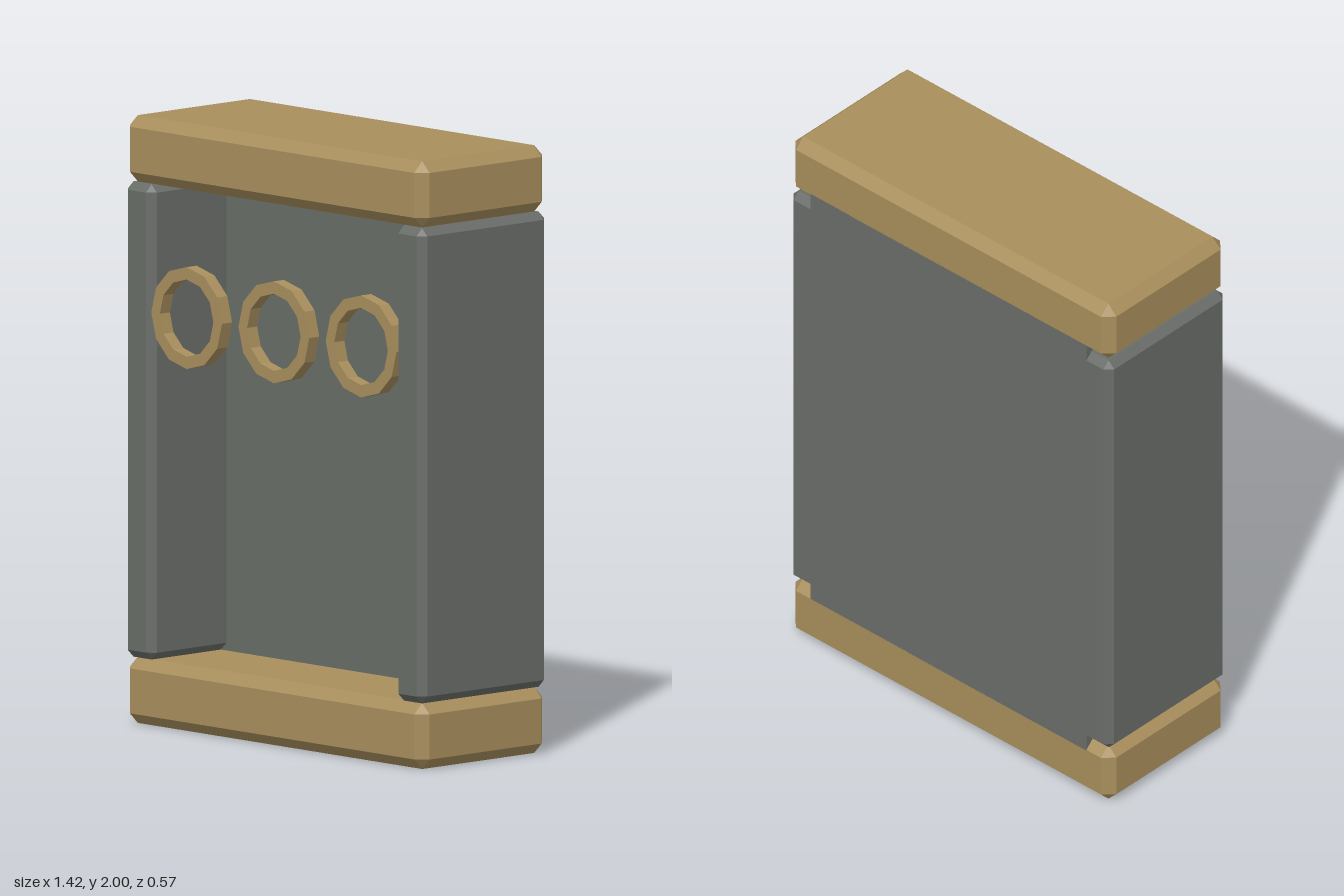
import * as THREE from 'three';
import { ConvexGeometry } from 'three/addons/geometries/ConvexGeometry.js';

// Box with every edge and corner chamfered by b
function chamferBox(w, h, d, b) {
  const points = [];
  for (const sx of [-1, 1]) for (const sy of [-1, 1]) for (const sz of [-1, 1]) {
    const x = w / 2, y = h / 2, z = d / 2;
    points.push(
      new THREE.Vector3(sx * x, sy * (y - b), sz * (z - b)),
      new THREE.Vector3(sx * (x - b), sy * y, sz * (z - b)),
      new THREE.Vector3(sx * (x - b), sy * (y - b), sz * z)
    );
  }
  return new ConvexGeometry(points);
}

// Twelve-sided flat ring, centred in depth
function ringGeometry(outer, inner, depth) {
  const polygon = (r) => Array.from({ length: 12 }, (_, i) => {
    const a = (i / 12) * Math.PI * 2;
    return new THREE.Vector2(Math.cos(a) * r, Math.sin(a) * r);
  });
  const shape = new THREE.Shape(polygon(outer));
  shape.holes.push(new THREE.Path(polygon(inner).reverse()));
  return new THREE.ExtrudeGeometry(shape, { depth, bevelEnabled: false }).translate(0, 0, -depth / 2);
}

export function createModel() {
  const model = new THREE.Group();
  model.name = 'cabinet';
  const tan = new THREE.MeshStandardMaterial({ name: 'tan', color: 0xa88e5c, flatShading: true });
  const grey = new THREE.MeshStandardMaterial({ name: 'grey', color: 0x696d68, flatShading: true });

  const add = (name, geometry, material, x, y, z) => {
    const mesh = new THREE.Mesh(geometry, material);
    mesh.name = name;
    mesh.position.set(x, y, z);
    model.add(mesh);
  };

  // Top and bottom slabs
  const slab = chamferBox(1.42, 0.218, 0.57, 0.035);
  add('bottomSlab', slab, tan, 0, 0.109, 0);
  add('topSlab', slab, tan, 0, 1.891, 0);

  // Side panels
  const panel = chamferBox(0.136, 1.564, 0.57, 0.025);
  add('leftPanel', panel, grey, 0.642, 1, 0);
  add('rightPanel', panel, grey, -0.642, 1, 0);

  // Thick back wall, flush with the rear
  add('backWall', new THREE.BoxGeometry(1.22, 1.64, 0.235), grey, 0, 1, -0.1675);

  // Row of rings across the opening
  const ring = ringGeometry(0.168, 0.127, 0.045);
  ['rightRing', 'middleRing', 'leftRing'].forEach((name, i) => {
    add(name, ring, tan, (i - 1) * 0.414, 1.364, 0.255);
  });

  return model;
}
